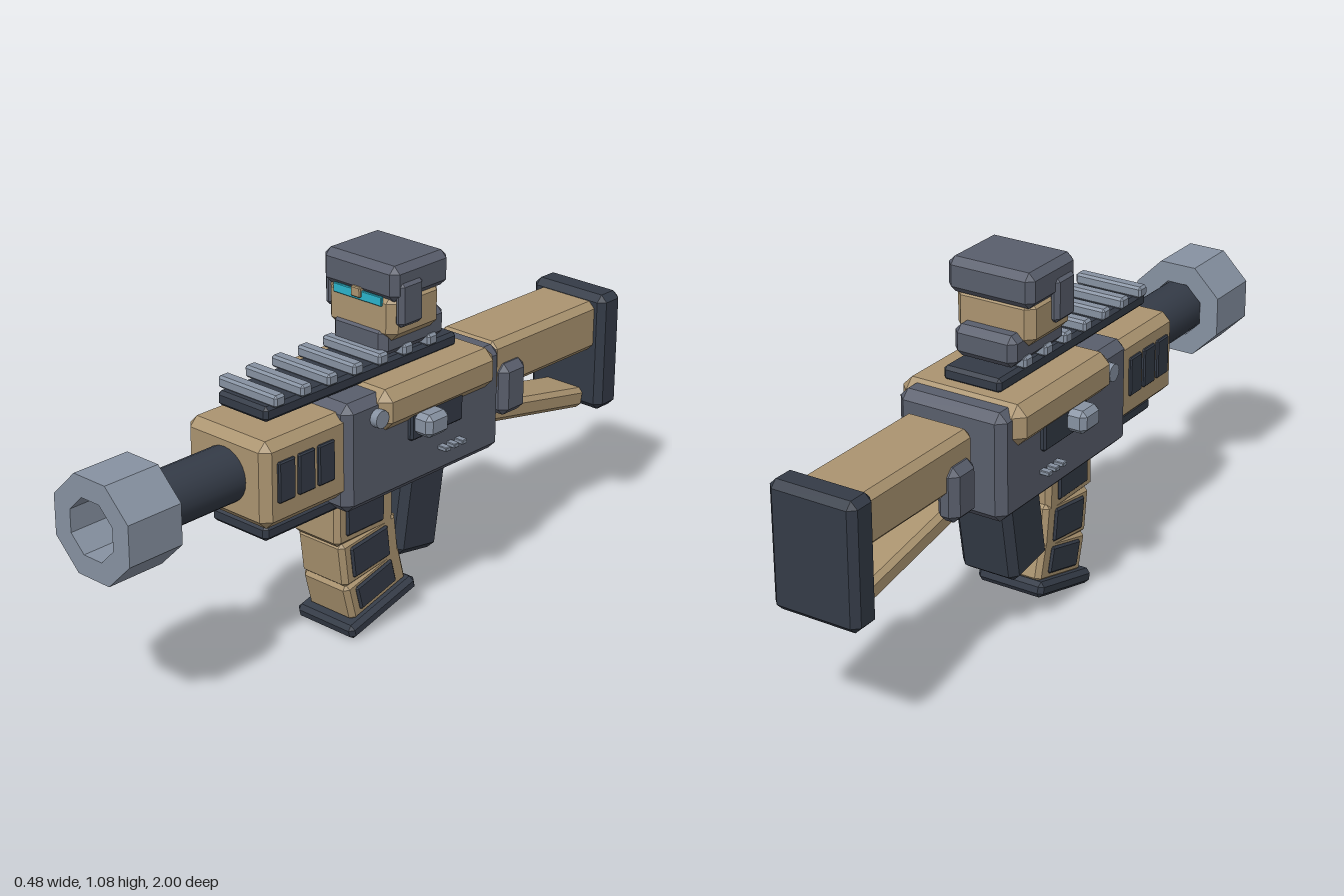
import * as THREE from 'three';
import { ConvexGeometry } from 'three/addons/geometries/ConvexGeometry.js';

const paint = (name, color) => {
  const m = new THREE.MeshStandardMaterial({ color });
  m.name = name;
  return m;
};

// Box with flat 45 degree bevels on every edge
function bevelBox(w, h, d, c) {
  const x = w / 2, y = h / 2, z = d / 2, pts = [];
  for (const i of [-1, 1]) for (const j of [-1, 1]) for (const k of [-1, 1]) {
    pts.push(
      new THREE.Vector3(i * x, j * (y - c), k * (z - c)),
      new THREE.Vector3(i * (x - c), j * y, k * (z - c)),
      new THREE.Vector3(i * (x - c), j * (y - c), k * z));
  }
  return new ConvexGeometry(pts);
}

export function createModel() {
  const model = new THREE.Group();
  model.name = 'blockyRifle';
  const tan = paint('tan', 0xab9470);
  const dark = paint('darkSlate', 0x343b47);
  const grey = paint('slateGrey', 0x595e6c);
  const light = paint('lightSteel', 0x8792a2);
  const cyan = paint('cyan', 0x2bb5cc);

  function add(name, geometry, material, x, y, z, tilt = 0) {
    const mesh = new THREE.Mesh(geometry, material);
    mesh.name = name;
    mesh.position.set(x, y, z);
    mesh.rotation.x = tilt;
    model.add(mesh);
    return mesh;
  }
  // Centred block given by half width, y range and z range
  const block = (name, mat, halfW, y0, y1, z0, z1, c = 0.02) =>
    add(name, bevelBox(halfW * 2, y1 - y0, z1 - z0, c), mat, 0, (y0 + y1) / 2, (z0 + z1) / 2);
  // Mirrored pair of blocks on the two sides
  const pair = (name, mat, x0, x1, y0, y1, z0, z1, c = 0.01) => {
    for (const s of [-1, 1]) {
      add((s > 0 ? 'left' : 'right') + name, bevelBox(x1 - x0, y1 - y0, z1 - z0, c), mat,
        s * (x0 + x1) / 2, (y0 + y1) / 2, (z0 + z1) / 2);
    }
  };

  // Barrel and hollow octagonal muzzle
  add('barrel', new THREE.CylinderGeometry(0.08, 0.08, 0.4, 24), dark, 0, 0.62, 0.68, Math.PI / 2);
  const octagon = r => Array.from({ length: 8 }, (_, i) => {
    const a = (i + 0.5) * Math.PI / 4;
    return new THREE.Vector2(r * Math.cos(a), r * Math.sin(a));
  });
  const ring = new THREE.Shape(octagon(0.152));
  ring.holes.push(new THREE.Path(octagon(0.087)));
  add('muzzle', new THREE.ExtrudeGeometry(ring, { depth: 0.18, bevelEnabled: false }), light, 0, 0.62, 0.82);

  // Handguard with side vents and lower rail
  block('handguard', tan, 0.153, 0.492, 0.743, 0.2, 0.535, 0.025);
  for (const z of [0.46, 0.385, 0.31]) {
    pair('Vent', dark, 0.14, 0.162, 0.567, 0.685, z - 0.031, z + 0.031, 0.004);
  }
  block('lowerRail', dark, 0.105, 0.433, 0.48, 0.12, 0.49, 0.012);

  // Receiver, top shell and side fittings
  block('receiver', grey, 0.172, 0.445, 0.765, -0.398, 0.245, 0.025);
  block('topShell', tan, 0.2, 0.655, 0.775, -0.352, 0.125, 0.03);
  pair('EjectionPort', dark, 0.16, 0.187, 0.595, 0.685, -0.213, 0.003, 0.006);
  pair('BoltHandle', light, 0.16, 0.24, 0.61, 0.678, -0.1, -0.01, 0.015);
  for (const s of [-1, 1]) {
    const pin = add('receiverPin', new THREE.CylinderGeometry(0.026, 0.026, 0.03, 12), light, s * 0.18, 0.705, 0.13);
    pin.rotation.z = Math.PI / 2;
  }
  for (const z of [-0.135, -0.17, -0.205]) {
    pair('SidePip', light, 0.17, 0.202, 0.527, 0.54, z - 0.011, z + 0.011, 0.002);
  }

  // Top rail with cross teeth
  block('topRail', dark, 0.093, 0.77, 0.813, -0.29, 0.47, 0.01);
  for (let i = 0; i < 7; i++) {
    const z = 0.43 - i * 0.1;
    block('railTooth', light, 0.11, 0.81, 0.845, z - 0.02, z + 0.02, 0.007);
  }

  // Helmeted head mounted on the rail
  block('neckCollar', grey, 0.1, 0.82, 0.912, -0.235, 0.025);
  block('head', tan, 0.126, 0.87, 1.005, -0.187, 0.018, 0.024);
  block('helmetCap', grey, 0.138, 0.988, 1.09, -0.207, 0.022, 0.02);
  pair('EarGuard', grey, 0.115, 0.147, 0.915, 1.045, -0.09, 0.003, 0.012);
  block('visor', cyan, 0.09, 0.972, 1.0, 0.015, 0.024, 0.002);
  block('noseBridge', tan, 0.017, 0.98, 1.01, 0.012, 0.031, 0.003);

  // Curved foregrip in three tilted segments with side pads
  const segments = [
    [0.375, 0.08, 0.145, 0.235, 0.0],
    [0.25, 0.058, 0.145, 0.232, 0.13],
    [0.138, 0.035, 0.125, 0.235, 0.26],
  ];
  const padHeights = [0.09, 0.1, 0.08];
  segments.forEach(([y, z, h, d, tilt], i) => {
    add('gripSegment', bevelBox(0.176, h, d, 0.014), tan, 0, y, z, tilt);
    add('gripSidePads', bevelBox(0.19, padHeights[i], 0.153, 0.006), dark, 0, y, z + 0.006, tilt);
  });
  add('gripBase', bevelBox(0.22, 0.046, 0.28, 0.013), dark, 0, 0.062, 0.025, 0.26);

  // Magazine
  add('magazine', bevelBox(0.19, 0.32, 0.177, 0.022), dark, 0, 0.333, -0.157, -0.165);

  // Stock
  block('stockBeam', tan, 0.108, 0.58, 0.735, -0.92, -0.432, 0.02);
  add('stockStrut', bevelBox(0.15, 0.062, 0.45, 0.014), tan, 0, 0.456, -0.69, -0.19);
  pair('StockBracket', grey, 0.065, 0.135, 0.505, 0.665, -0.563, -0.453, 0.022);
  block('buttPad', dark, 0.136, 0.385, 0.755, -1.0, -0.903, 0.02);

  return model;
}
